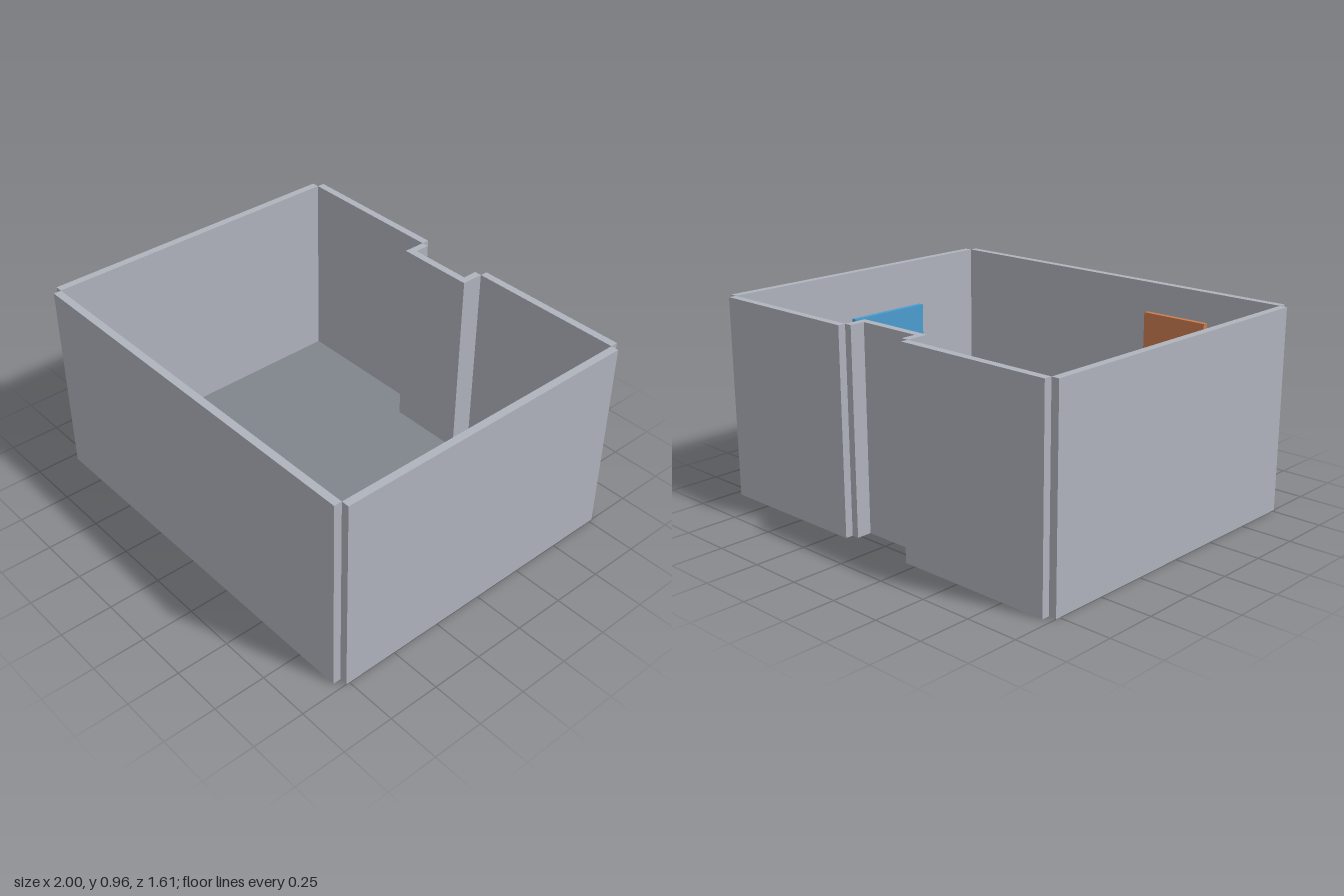
import * as THREE from 'three';

const H = 0.965; // wall height

export function createModel() {
  const room = new THREE.Group();
  room.name = 'room';

  const mat = (name, color) => {
    const m = new THREE.MeshStandardMaterial({ color });
    m.name = name;
    return m;
  };
  const wallGrey = mat('wall grey', 0xafb3bc);
  const floorGrey = mat('floor grey', 0x7f858b);
  const orange = mat('door orange', 0xca7c4f);
  const blue = mat('window blue', 0x4a9dcf);

  // Box given by its limits on each axis
  const box = (name, material, [x0, x1], [y0, y1], [z0, z1]) => {
    const geo = new THREE.BoxGeometry(x1 - x0, y1 - y0, z1 - z0);
    geo.translate((x0 + x1) / 2, (y0 + y1) / 2, (z0 + z1) / 2);
    const mesh = new THREE.Mesh(geo, material);
    mesh.name = name;
    room.add(mesh);
  };

  // Walls stand just outside the floor outline, leaving open outer corners
  const wall = (name, x, z) => box(name, wallGrey, x, [0, H], z);
  wall('frontWall', [-0.963, 0.963], [0.767, 0.805]);
  wall('rightWall', [-1, -0.963], [-0.77, 0.767]);
  wall('leftWall', [0.963, 1], [-0.77, 0.767]);
  wall('backWallRight', [-0.963, -0.193], [-0.807, -0.77]);
  wall('backWallLeft', [0.193, 0.963], [-0.807, -0.77]);

  // Recess in the back wall
  wall('recessWall', [-0.193, 0.193], [-0.697, -0.66]);
  wall('recessSideRight', [-0.193, -0.157], [-0.77, -0.697]);
  wall('recessSideLeft', [0.157, 0.193], [-0.77, -0.697]);

  // Floor follows the inner outline of the walls
  const outline = [
    [-0.963, 0.767], [0.963, 0.767], [0.963, -0.77], [0.193, -0.77],
    [0.193, -0.66], [-0.193, -0.66], [-0.193, -0.77], [-0.963, -0.77],
  ].map(([x, z]) => new THREE.Vector2(x, -z));
  const floorGeo = new THREE.ExtrudeGeometry(new THREE.Shape(outline), { depth: 0.004, bevelEnabled: false });
  floorGeo.rotateX(-Math.PI / 2);
  const floor = new THREE.Mesh(floorGeo, floorGrey);
  floor.name = 'floor';
  room.add(floor);

  // Fittings on the inner wall faces
  box('door', orange, [-0.58, -0.233], [0.004, 0.82], [0.742, 0.767]);
  box('window', blue, [0.937, 0.963], [0.345, 0.733], [-0.08, 0.38]);
  box('wallSwitch', orange, [0.937, 0.963], [0.41, 0.45], [-0.33, -0.29]);

  return room;
}
